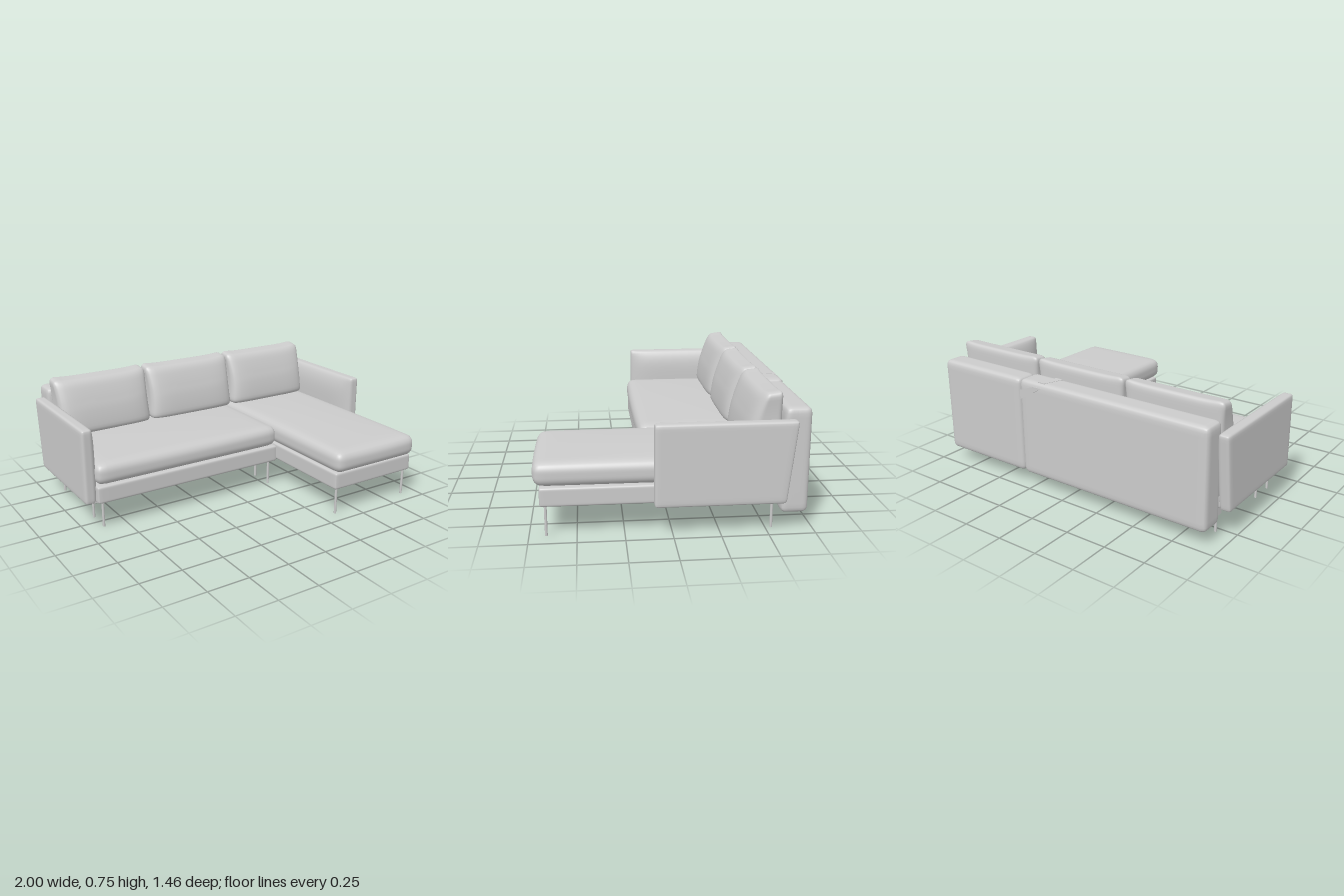
import * as THREE from 'three';
import { mergeVertices } from 'three/addons/utils/BufferGeometryUtils.js';

const material = new THREE.MeshStandardMaterial({ color: 0xcccccc });

// Rounded upholstery block between min and max corners.
// warp(p, u) then moves each point p; u is its place in the block, -1 to 1 per axis.
function softBlock(name, [x0, x1], [y0, y1], [z0, z1], r, warp) {
  const half = new THREE.Vector3(x1 - x0, y1 - y0, z1 - z0).multiplyScalar(0.5);
  const centre = new THREE.Vector3(x0 + x1, y0 + y1, z0 + z1).multiplyScalar(0.5);
  const inner = half.clone().subScalar(r);
  let geo = new THREE.BoxGeometry(2, 2, 2, 20, 20, 20);
  geo.deleteAttribute('uv');
  geo.deleteAttribute('normal');
  geo = mergeVertices(geo);
  const pos = geo.attributes.position;
  const p = new THREE.Vector3(), q = new THREE.Vector3(), u = new THREE.Vector3();
  const spread = (t) => Math.sin(t * Math.PI / 2); // more rows near the edges
  for (let i = 0; i < pos.count; i++) {
    p.fromBufferAttribute(pos, i);
    p.set(spread(p.x), spread(p.y), spread(p.z)).multiply(half);
    q.copy(p).clamp(inner.clone().negate(), inner);
    p.sub(q).setLength(r).add(q);
    u.copy(p).divide(half);
    p.add(centre);
    if (warp) warp(p, u);
    pos.setXYZ(i, p.x, p.y, p.z);
  }
  geo.computeVertexNormals();
  const mesh = new THREE.Mesh(geo, material);
  mesh.name = name;
  return mesh;
}

function box(name, [x0, x1], [y0, y1], [z0, z1]) {
  const mesh = new THREE.Mesh(new THREE.BoxGeometry(x1 - x0, y1 - y0, z1 - z0), material);
  mesh.position.set((x0 + x1) / 2, (y0 + y1) / 2, (z0 + z1) / 2);
  mesh.name = name;
  return mesh;
}

const dome = (t) => Math.max(0, 1 - t * t);

// Flat strip of cloth cut from corner points
function strip(name, points) {
  const shape = new THREE.Shape(points.map(([x, y]) => new THREE.Vector2(x, y)));
  const mesh = new THREE.Mesh(
    new THREE.ExtrudeGeometry(shape, { depth: 0.006, bevelEnabled: false }), material);
  mesh.name = name;
  return mesh;
}

export function createModel() {
  const sofa = new THREE.Group();
  sofa.name = 'cornerSofa';

  // Seat bases
  sofa.add(softBlock('seatBase', [-0.93, 0.31], [0.167, 0.272], [-0.58, 0.125], 0.014));
  sofa.add(softBlock('chaiseBase', [0.322, 0.925], [0.167, 0.272], [-0.58, 0.69], 0.014));

  // Seat cushions, slightly crowned, with full front edges
  const crown = (p, u) => {
    if (u.y > 0) p.y += 0.012 * u.y * dome(u.x) * dome(u.z);
    if (u.z > 0.5) p.z += 0.008 * dome(u.x) * dome(u.y);
  };
  sofa.add(softBlock('seatCushion', [-0.932, 0.308], [0.272, 0.405], [-0.575, 0.132], 0.052, crown));
  sofa.add(softBlock('chaiseCushion', [0.31, 0.93], [0.272, 0.405], [-0.575, 0.72], 0.052, crown));

  // Back cushions: raked front, thinner at the sides, pointed top corners
  const pillow = (p, u) => {
    const t = (u.y + 1) / 2, front = (u.z + 1) / 2;
    p.z -= front * (0.085 * t * t + 0.03 * u.x ** 6);
    p.y += t > 0.5 ? 0.012 * Math.abs(u.x) ** 5 - 0.012 * front * t : 0;
    p.x -= 0.012 * u.x * dome(u.y);
  };
  [[-0.93, -0.308], [-0.308, 0.312], [0.312, 0.922]].forEach((span, i) => {
    sofa.add(softBlock('backCushion' + (i + 1), span, [0.405, 0.745], [-0.572, -0.375], 0.04, pillow));
  });

  // Backrests hang lower than the seat bases
  const taper = (p, u) => { if (u.z > 0 && u.y > 0.6) p.z -= 0.02 * (u.y - 0.6); };
  sofa.add(softBlock('longBackrest', [-0.932, 0.309], [0.085, 0.67], [-0.73, -0.575], 0.032, taper));
  sofa.add(softBlock('chaiseBackrest', [0.311, 0.93], [0.085, 0.665], [-0.725, -0.575], 0.032, taper));

  // Folded cloth band over the corner of the long backrest
  const topBand = strip('topFold', [[0.09, 0.6], [0.14, 0.6], [0.18, 0.71], [0.13, 0.71]]);
  topBand.rotation.x = -Math.PI / 2;
  topBand.position.y = 0.666;
  const backBand = strip('backFold', [[0.3, 0.55], [0.3, 0.605], [0.2, 0.645], [0.14, 0.645]]);
  backBand.position.z = -0.733;
  sofa.add(topBand, backBand);

  // Arms: flat outside, padded inside, raked rear edge
  for (const side of [-1, 1]) {
    const span = side > 0 ? [0.933, 0.998] : [-0.998, -0.933];
    sofa.add(softBlock(side > 0 ? 'leftArm' : 'rightArm', span, [0.167, 0.612], [-0.64, 0.1], 0.018, (p, u) => {
      const inside = (1 - side * u.x) / 2;
      p.x -= side * inside * 0.036 * dome(u.z ** 3) * dome(u.y ** 2);
      p.z += 0.05 * (1 - u.y) / 2 * (1 - u.z) / 2;
    }));
  }

  // Support frame under the long seat
  sofa.add(box('frontRail', [-0.9, 0.3], [0.1, 0.168], [-0.103, -0.042]));
  sofa.add(box('rearRail', [-0.9, 0.3], [0.1, 0.168], [-0.565, -0.503]));
  sofa.add(box('underPanel', [-0.895, 0.295], [0.11, 0.168], [-0.51, -0.095]));

  // Legs
  const legGeo = new THREE.CylinderGeometry(0.0075, 0.0075, 0.17, 16);
  const legs = [
    ...[-0.885, 0.28].flatMap((x) => [0.07, -0.073, -0.533].map((z) => [x, z])),
    ...[0.355, 0.898].flatMap((x) => [0.66, -0.533].map((z) => [x, z])),
  ];
  for (const [x, z] of legs) {
    const leg = new THREE.Mesh(legGeo, material);
    leg.position.set(x, 0.085, z);
    leg.name = 'leg';
    sofa.add(leg);
  }
  return sofa;
}
